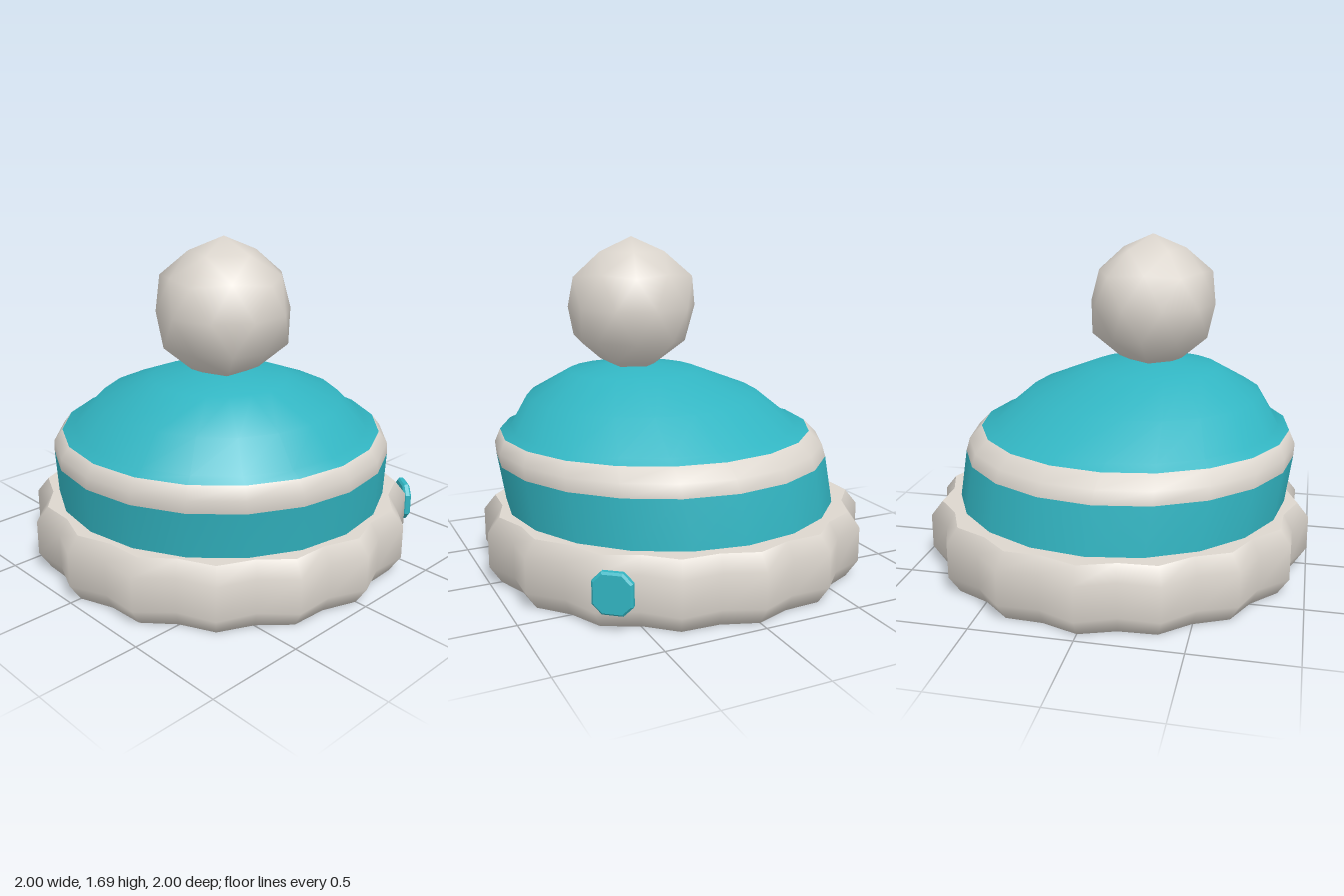
import * as THREE from 'three';

const teal = new THREE.MeshStandardMaterial({ color: 0x32b5c2, side: THREE.DoubleSide });
teal.name = 'teal knit';
const cream = new THREE.MeshStandardMaterial({ color: 0xdcd6ce, side: THREE.DoubleSide });
cream.name = 'cream wool';

// Skin closed rings, bottom to top; point(row, column) returns [x, y, z].
// materialOf(row) picks the material index of each band.
function loft(rows, columns, point, materialOf = () => 0) {
  const positions = [], index = [];
  const geometry = new THREE.BufferGeometry();
  for (let i = 0; i < rows; i++)
    for (let j = 0; j < columns; j++) positions.push(...point(i, j));
  for (let i = 0; i < rows - 1; i++) {
    geometry.addGroup(index.length, columns * 6, materialOf(i));
    for (let j = 0; j < columns; j++) {
      const k = (j + 1) % columns;
      const a = i * columns + j, b = i * columns + k;
      const c = a + columns, d = b + columns;
      index.push(a, c, b, b, c, d);
    }
  }
  geometry.setAttribute('position', new THREE.Float32BufferAttribute(positions, 3));
  geometry.setIndex(index);
  geometry.computeVertexNormals();
  return geometry;
}

function add(parent, name, geometry, material) {
  const mesh = new THREE.Mesh(geometry, material);
  mesh.name = name;
  parent.add(mesh);
  return mesh;
}

// Crown leaning towards +x and +z: [radius, y, lean]
function crownGeometry() {
  const profile = [
    [0.86, 0.2, 0], [0.86, 0.34, 0.012], [0.863, 0.58, 0.043],
    [0.857, 0.645, 0.053], [0.81, 0.71, 0.068], [0.745, 0.73, 0.075],
    [0.608, 0.88, 0.115], [0.34, 1.0, 0.155], [0.12, 1.03, 0.16], [0, 1.03, 0.16],
  ];
  return loft(profile.length, 20, (i, j) => {
    const [r, y, lean] = profile[i];
    const a = (j / 20) * Math.PI * 2;
    return [r * Math.cos(a) + lean, y, r * Math.sin(a) + lean];
  }, (i) => (i === 2 || i === 3 ? 1 : 0));
}

// Scalloped brim: [radius, y, scallop depth]; repeated points keep an edge sharp
function brimGeometry() {
  const profile = [
    [0.86, 0.17, 0], [0.72, 0.17, 0], [0.72, 0.17, 0], [0.72, 0, 0], [0.72, 0, 0],
    [0.94, 0, 0.045], [1, 0.09, 0.06], [1, 0.265, 0.06],
    [0.94, 0.34, 0.045], [0.94, 0.34, 0.045], [0.8, 0.34, 0],
  ];
  return loft(profile.length, 32, (i, j) => {
    const [radius, y, depth] = profile[i];
    const r = radius - (j % 2) * depth;
    const a = (j / 32) * Math.PI * 2;
    return [r * Math.cos(a), y, r * Math.sin(a)];
  });
}

// Low-poly ball with a corner at the top and slightly raised main corners
function pompomGeometry() {
  const geometry = new THREE.IcosahedronGeometry(1, 1);
  geometry.rotateZ(-Math.atan(2 / (1 + Math.sqrt(5))));
  const p = geometry.attributes.position;
  const v = new THREE.Vector3();
  for (let i = 0; i < p.count; i++) {
    v.fromBufferAttribute(p, i);
    const h = Math.abs(v.y);
    const corner = h > 0.99 || Math.abs(h - 0.447) < 0.02;
    v.multiplyScalar(corner ? 0.355 : 0.33);
    p.setXYZ(i, v.x, v.y, v.z);
  }
  return geometry;
}

// Small tag with cut corners and bevelled edges
function tagGeometry() {
  const w = 0.085, h = 0.09, c = 0.04;
  const shape = new THREE.Shape([
    [w, -h + c], [w, h - c], [w - c, h], [-w + c, h],
    [-w, h - c], [-w, -h + c], [-w + c, -h], [w - c, -h],
  ].map(([x, y]) => new THREE.Vector2(x, y)));
  const geometry = new THREE.ExtrudeGeometry(shape, {
    depth: 0.02, bevelEnabled: true, bevelSize: 0.01, bevelThickness: 0.01, bevelSegments: 1,
  });
  return geometry.translate(0, 0, -0.01);
}

export function createModel() {
  const hat = new THREE.Group();
  hat.name = 'bobbleHat';

  add(hat, 'brim', brimGeometry(), cream);
  add(hat, 'crown', crownGeometry(), [teal, cream]);
  add(hat, 'pompom', pompomGeometry(), cream).position.set(0.165, 1.335, 0.14);

  // Tag at the back left of the brim
  const tag = add(hat, 'tag', tagGeometry(), teal);
  tag.position.set(0.645, 0.2, -0.775);
  tag.rotation.y = Math.atan2(0.62, -0.78);

  return hat;
}
